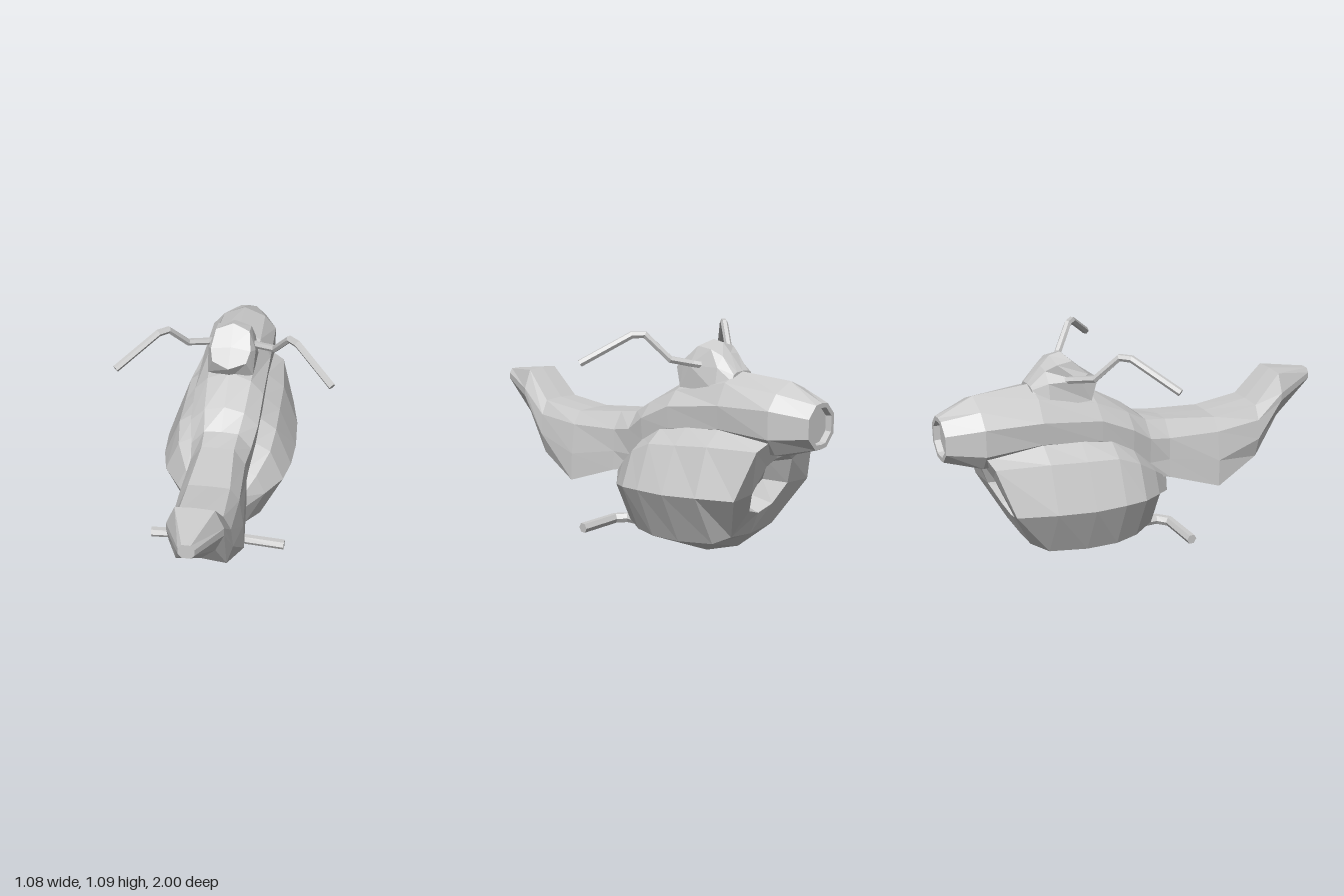
import * as THREE from 'three';

const material = new THREE.MeshStandardMaterial({ color: 0xcccccc, flatShading: true });

// Skins closed rings (arrays of Vector3), ordered rear to front, with fan caps at both ends.
function loft(name, rings) {
  const pos = [];
  const tri = (...pts) => pts.forEach((p) => pos.push(p.x, p.y, p.z));
  const n = rings[0].length;
  const centre = (r) => r.reduce((s, p) => s.add(p), new THREE.Vector3()).divideScalar(n);
  const first = rings[0], last = rings[rings.length - 1];
  const c0 = centre(first), c1 = centre(last);
  for (let j = 0; j < n; j++) {
    const k = (j + 1) % n;
    for (let i = 0; i < rings.length - 1; i++) {
      const a = rings[i], b = rings[i + 1];
      tri(a[j], a[k], b[k]);
      tri(a[j], b[k], b[j]);
    }
    tri(c0, first[k], first[j]);
    tri(c1, last[j], last[k]);
  }
  const geometry = new THREE.BufferGeometry();
  geometry.setAttribute('position', new THREE.Float32BufferAttribute(pos, 3));
  geometry.computeVertexNormals();
  const mesh = new THREE.Mesh(geometry, material);
  mesh.name = name;
  return mesh;
}

// Mirrors a half section, listed bottom to top, into a full ring. A point may carry its own z.
function ring(z, half) {
  const right = half.map(([x, y, pz = z]) => new THREE.Vector3(x, y, pz));
  const left = right.slice(1, -1).reverse().map((p) => new THREE.Vector3(-p.x, p.y, p.z));
  return [...right, ...left];
}

// Shrinks a ring about a height and shifts it in z.
const inset = (r, scale, y, dz) =>
  r.map((p) => new THREE.Vector3(p.x * scale, y + (p.y - y) * scale, p.z + dz));

// Six-sided bar with mitred bends.
function bar(name, points, radius, side) {
  const path = points.map(([x, y, z]) => new THREE.Vector3(x * side, y, z));
  const rings = path.map((p, i) => {
    const before = i > 0 ? p.clone().sub(path[i - 1]).normalize() : new THREE.Vector3();
    const after = i < path.length - 1 ? path[i + 1].clone().sub(p).normalize() : new THREE.Vector3();
    const d = before.add(after).normalize();
    const u = new THREE.Vector3(0, 1, 0).cross(d).normalize();
    const v = d.clone().cross(u);
    return Array.from({ length: 6 }, (_, j) => {
      const a = (j / 6) * Math.PI * 2;
      return p.clone().addScaledVector(u, radius * Math.cos(a)).addScaledVector(v, radius * Math.sin(a));
    });
  });
  return loft(name, rings);
}

export function createModel() {
  const model = new THREE.Group();
  model.name = 'hoverBike';

  // Long upper body: round nose port, tank, saddle dip and raised tail
  const nose = ring(-1, [[0, 0.605], [0.045, 0.61], [0.1, 0.665], [0.1, 0.755], [0.045, 0.81], [0, 0.815]]);
  model.add(loft('upperBody', [
    inset(nose, 0.78, 0.71, 0.03),
    inset(nose, 0.8, 0.71, 0),
    nose,
    ring(-0.83, [[0, 0.55], [0.11, 0.57], [0.17, 0.65], [0.17, 0.78], [0.11, 0.85], [0, 0.895]]),
    ring(-0.55, [[0, 0.55], [0.1, 0.57], [0.165, 0.66], [0.175, 0.77], [0.12, 0.87], [0, 0.91]]),
    ring(-0.25, [[0, 0.5], [0.1, 0.5], [0.17, 0.625], [0.175, 0.73], [0.11, 0.8], [0, 0.845]]),
    ring(-0.08, [[0, 0.4], [0.12, 0.4], [0.16, 0.54], [0.17, 0.65], [0.1, 0.72], [0, 0.745]]),
    ring(0.02, [[0, 0.38], [0.13, 0.38], [0.14, 0.45], [0.15, 0.58], [0.085, 0.66], [0, 0.665]]),
    ring(0.13, [[0, 0.36], [0.145, 0.355], [0.14, 0.45], [0.135, 0.56], [0.08, 0.645], [0, 0.645]]),
    ring(0.4, [[0, 0.288], [0.17, 0.262], [0.165, 0.4], [0.145, 0.55], [0.1, 0.615], [0, 0.618]]),
    ring(0.64, [[0, 0.38], [0.12, 0.365], [0.15, 0.47], [0.14, 0.57], [0.105, 0.64], [0, 0.645]]),
    ring(0.78, [[0, 0.55], [0.09, 0.56], [0.13, 0.65], [0.13, 0.69], [0.09, 0.785], [0, 0.79]]),
    ring(1, [[0, 0.69], [0.02, 0.69], [0.037, 0.71], [0.037, 0.74], [0.02, 0.762], [0, 0.762]]),
  ]));

  // Bulbous engine housing with a recessed intake on its slanted end
  const intake = ring(-0.73, [[0, 0.25, -0.665], [0.09, 0.28, -0.68], [0.14, 0.38, -0.73],
    [0.1, 0.51, -0.78], [0.05, 0.54, -0.795], [0, 0.545, -0.8]]);
  model.add(loft('engineHousing', [
    inset(intake, 0.75, 0.4, 0.12),
    intake,
    ring(-0.74, [[0, 0.14, -0.62], [0.16, 0.16, -0.63], [0.29, 0.375, -0.74],
      [0.22, 0.6, -0.81], [0.14, 0.64, -0.83], [0, 0.64, -0.83]]),
    ring(-0.55, [[0, 0.065], [0.2, 0.12], [0.33, 0.365], [0.25, 0.59], [0.16, 0.66], [0, 0.66]]),
    ring(-0.36, [[0, 0.005], [0.22, 0.1], [0.342, 0.35], [0.25, 0.57], [0.16, 0.65], [0, 0.65]]),
    ring(-0.2, [[0, 0.005], [0.22, 0.095], [0.333, 0.345], [0.25, 0.555], [0.16, 0.62], [0, 0.62]]),
    ring(-0.08, [[0, 0.03], [0.19, 0.1], [0.305, 0.335], [0.235, 0.5], [0.15, 0.55], [0, 0.55]]),
    ring(0.03, [[0, 0.085], [0.13, 0.12], [0.225, 0.315], [0.18, 0.42], [0.12, 0.45], [0, 0.45]]),
    ring(0.12, [[0, 0.25], [0.07, 0.255], [0.13, 0.28], [0.12, 0.35], [0.08, 0.37], [0, 0.37]]),
  ]));

  // Instrument cowl with a tilted hexagonal dial face
  model.add(loft('instrumentCowl', [
    ring(-0.56, [[0, 0.85], [0.08, 0.87], [0.065, 0.9], [0.04, 0.91], [0, 0.912]]),
    ring(-0.49, [[0, 0.8], [0.12, 0.82], [0.1, 0.93], [0.06, 0.98], [0, 0.99]]),
    ring(-0.4, [[0, 0.8, -0.26], [0.115, 0.82, -0.28], [0.12, 0.93, -0.34],
      [0.085, 1.01, -0.44], [0, 1.035, -0.445]]),
    ring(-0.3, [[0, 0.89, -0.2], [0.085, 0.91, -0.235], [0.1, 0.95, -0.29],
      [0.085, 1.02, -0.365], [0, 1.046, -0.39]]),
  ]));

  // Paired controls
  for (const [label, side] of [['left', 1], ['right', -1]]) {
    model.add(bar(`${label}Handlebar`, [[0.08, 0.93, -0.41], [0.13, 0.942, -0.37], [0.22, 0.965, -0.31],
      [0.298, 1.08, -0.22], [0.342, 1.08, -0.18], [0.527, 0.953, -0.025]], 0.018, side));
    model.add(bar(`${label}Footpeg`, [[0.07, 0.1, -0.06], [0.075, 0.1, 0.09], [0.12, 0.097, 0.14],
      [0.343, 0.092, 0.15]], 0.026, side));
  }
  return model;
}
